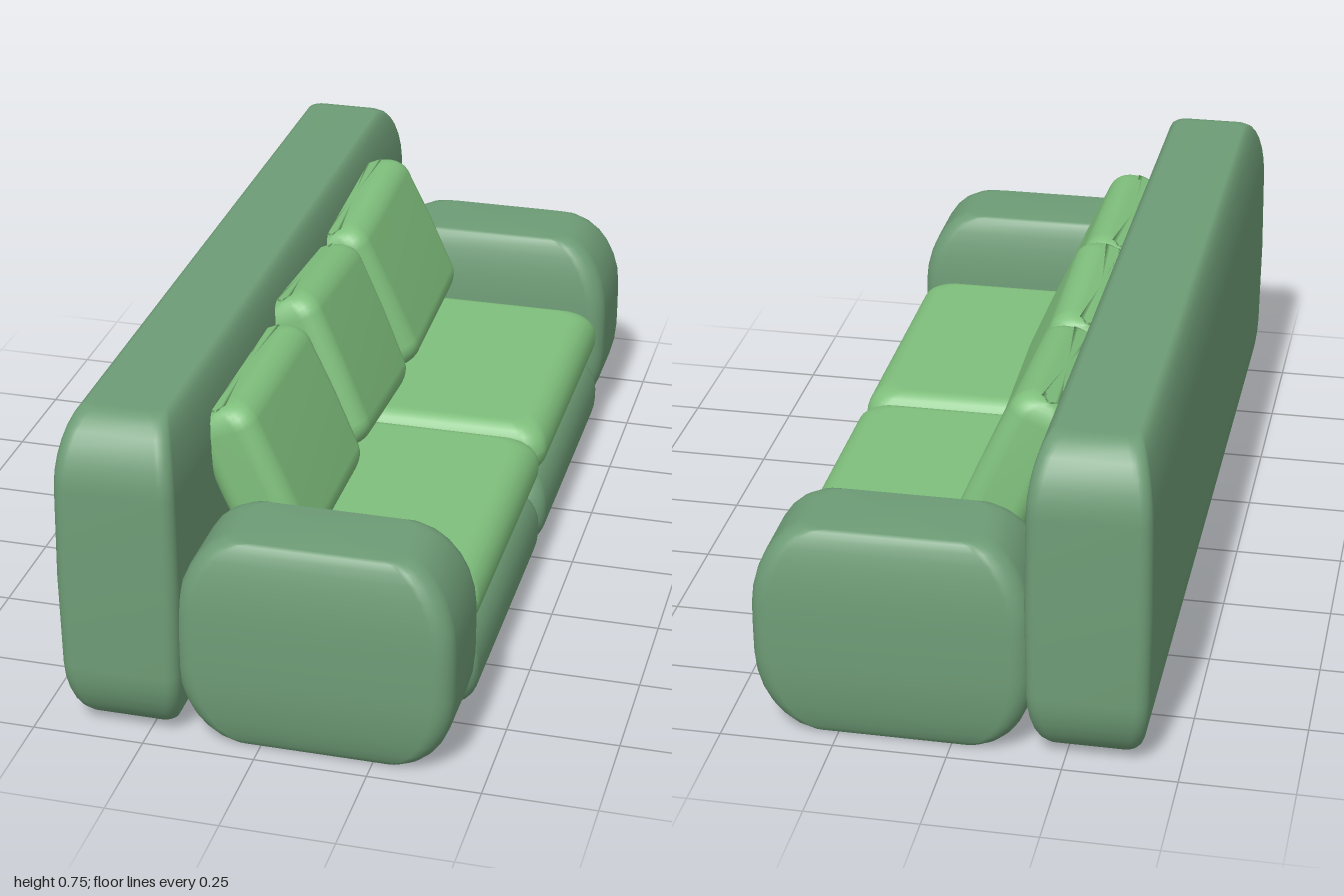
import * as THREE from 'three';

const frameMat = new THREE.MeshStandardMaterial({ color: 0x6e9c76, roughness: 0.9 });
const cushionMat = new THREE.MeshStandardMaterial({ color: 0x7fbf7c, roughness: 0.9 });

// Padded block: rounded-rectangle sections stacked in y, drawn in elliptically at both ends.
// size: full [x, y, z]; ry: height of the rounding; ix, iz: how far the ends draw in; r: corner radius
function paddedBlock([w, h, d], { ry, ix, iz, r, bow = 0.008 }) {
  const STEPS = 7, CORNER = 6;
  const levels = [];
  for (let i = 0; i <= STEPS; i++) {
    const a = (i / STEPS) * Math.PI / 2;
    levels.push([h / 2 - ry + ry * Math.sin(a), 1 - Math.cos(a)]);
  }
  const rings = [
    ...levels.map(([y, k]) => [-y, k]).reverse(),
    [0, 0],
    ...levels,
  ];

  const pos = [], index = [];
  const n = 4 * (CORNER + 1);
  for (const [y, k] of rings) {
    const swell = bow * (2 * y / h) ** 2 * (1 - k);
    const hx = w / 2 - ix * k - swell, hz = d / 2 - iz * k - swell;
    for (let q = 0; q < 4; q++) {
      const sx = q === 0 || q === 3 ? 1 : -1, sz = q < 2 ? 1 : -1;
      for (let j = 0; j <= CORNER; j++) {
        const t = (q + j / CORNER) * Math.PI / 2;
        pos.push(sx * (hx - r) + r * Math.cos(t), y, sz * (hz - r) + r * Math.sin(t));
      }
    }
  }
  for (let i = 0; i < rings.length - 1; i++) {
    for (let j = 0; j < n; j++) {
      const p = i * n + j, q = i * n + (j + 1) % n;
      index.push(p, p + n, q, q, p + n, q + n);
    }
  }
  // End caps
  const bottom = pos.length / 3, top = bottom + 1, last = (rings.length - 1) * n;
  pos.push(0, -h / 2, 0, 0, h / 2, 0);
  for (let j = 0; j < n; j++) {
    const k = (j + 1) % n;
    index.push(bottom, j, k, top, last + k, last + j);
  }
  const geo = new THREE.BufferGeometry();
  geo.setAttribute('position', new THREE.Float32BufferAttribute(pos, 3));
  geo.setIndex(index);
  geo.computeVertexNormals();
  return geo;
}

export function createModel() {
  const sofa = new THREE.Group();
  sofa.name = 'sofa';

  const add = (name, material, size, position, shape) => {
    const mesh = new THREE.Mesh(paddedBlock(size, shape), material);
    mesh.name = name;
    mesh.position.set(...position);
    sofa.add(mesh);
    return mesh;
  };

  // Tall back panel
  add('backrest', frameMat, [0.27, 0.747, 2], [-0.3, 0.3815, 0],
    { ry: 0.16, ix: 0.05, iz: 0.11, r: 0.03 });

  // Arms, bases and seat cushions, one of each per side
  for (const s of [1, -1]) {
    const side = s > 0 ? 'Near' : 'Far';
    add('arm' + side, frameMat, [0.61, 0.5, 0.27], [0.125, 0.25, s * 0.853],
      { ry: 0.19, ix: 0.125, iz: 0.045, r: 0.045 });
    add('base' + side, frameMat, [0.6, 0.2, 0.735], [0.123, 0.105, s * 0.368],
      { ry: 0.09, ix: 0.06, iz: 0.05, r: 0.05, bow: 0.003 });
    add('seatCushion' + side, cushionMat, [0.6, 0.135, 0.722], [0.12, 0.27, s * 0.362],
      { ry: 0.065, ix: 0.06, iz: 0.05, r: 0.05, bow: 0 });
  }

  // Loose pillows leaning on the back: [centre y, centre z, width, sideways tilt in degrees]
  const pillows = [
    [0.49, 0.475, 0.49, 0],
    [0.508, 0.002, 0.435, -4],
    [0.515, -0.475, 0.475, 3.5],
  ];
  pillows.forEach(([y, z, width, tilt], i) => {
    const pillow = add('pillow' + (i + 1), cushionMat, [0.155, 0.39, width], [-0.085, y, z],
      { ry: 0.055, ix: 0.055, iz: 0.035, r: 0.045, bow: 0.004 });
    pillow.rotation.set(THREE.MathUtils.degToRad(tilt), 0, THREE.MathUtils.degToRad(24));
  });

  return sofa;
}
